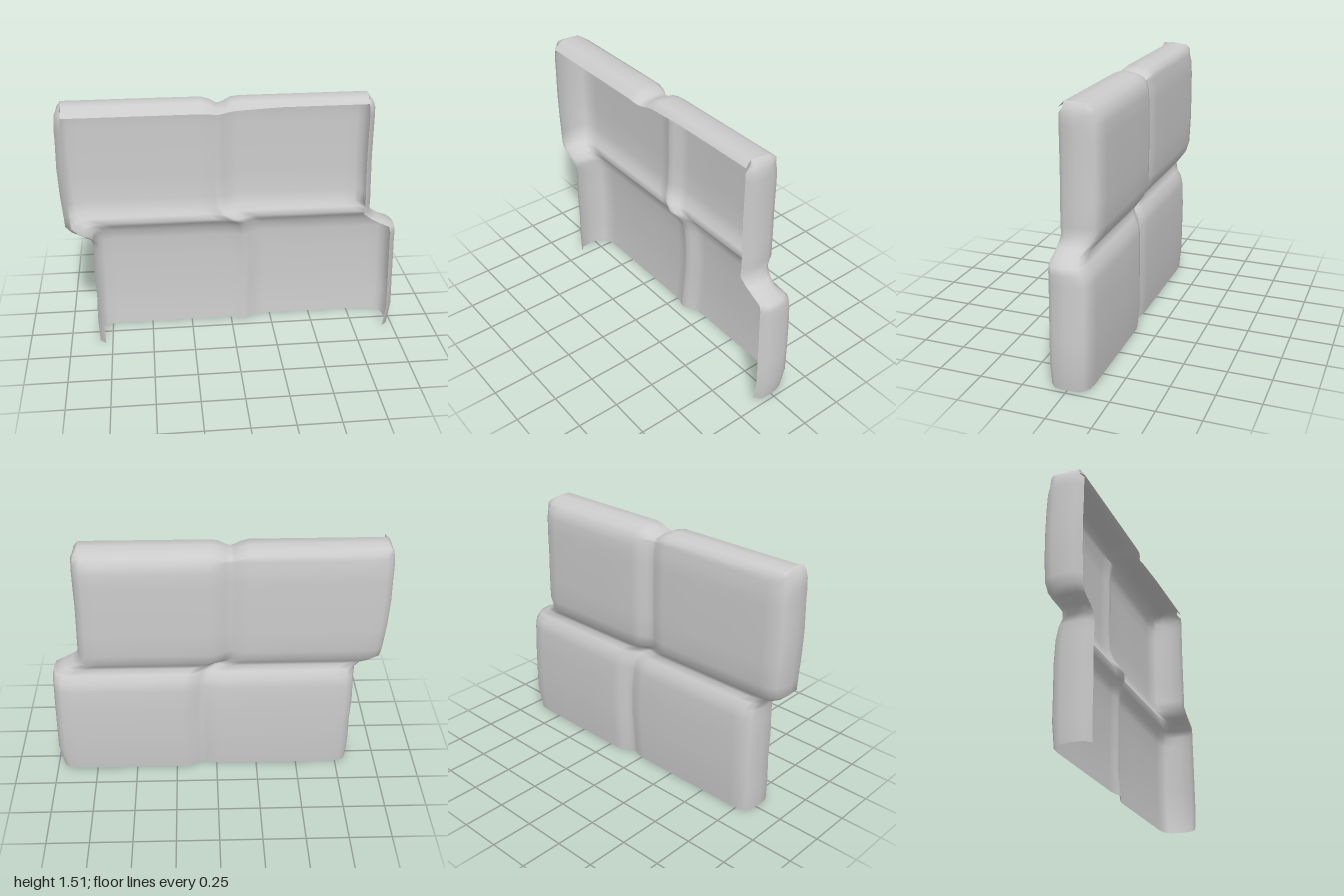
import * as THREE from 'three';

const { lerp, smoothstep, clamp } = THREE.MathUtils;

// Levels going up: y, left end, right end, x of the upright seam, forward shift of the back
const levels = [
  [0, -0.83, 0.975, 0.08, 0.012],
  [0.14, -0.835, 0.995, 0.08, 0],
  [0.3, -0.83, 0.99, 0.09, -0.004],
  [0.46, -0.835, 0.985, 0.09, -0.004],
  [0.6, -0.83, 0.98, 0.08, 0],
  [0.66, -0.83, 0.98, 0.07, 0.012],
  [0.7, -0.835, 0.97, 0.05, 0.04],
  [0.73, -0.88, 0.91, 0.01, 0.062],
  [0.76, -0.945, 0.855, -0.04, 0.046],
  [0.795, -0.98, 0.81, -0.07, 0.022],
  [0.86, -0.985, 0.815, -0.08, 0.004],
  [1.0, -0.995, 0.81, -0.08, 0],
  [1.16, -1, 0.805, -0.08, 0],
  [1.32, -0.995, 0.805, -0.08, 0],
  [1.4, -0.995, 0.805, -0.08, 0.004],
  [1.45, -0.99, 0.803, -0.08, 0.015],
];

// Rounded top edge rolling forward: y, end inset, nearest z to the back
const topRoll = [
  [1.485, 0.015, -0.085],
  [1.505, 0.03, -0.05],
  [1.515, 0.04, 0.01],
  [1.512, 0.045, 0.075],
  [1.465, 0.04, 0.2],
];

// Half profile of an end wall: inset from the end, blend from back (0) to front (1)
const endWall = [[0.04, 1], [0.005, 0.85], [0, 0.55], [0.006, 0.3], [0.022, 0.13], [0.055, 0.035], [0.12, 0]];

// Front and back depth of the shell either side of a seam
const frontZ = (x, s) => lerp(0.13, 0.103, smoothstep(x, s - 0.05, s + 0.04));
const seamDip = (x, s) => Math.exp(-(((x - s) / 0.05) ** 2));
const backZ = (x, s, shift) =>
  lerp(-0.103, -0.128, smoothstep(x, s, s + 0.12)) + 0.022 * seamDip(x, s) + shift;

// One cross-section, from the left rim round the back to the right rim
function section([y, xl, xr, s, shift]) {
  const pts = [];
  const wall = (x, t) => pts.push(new THREE.Vector3(x, y, lerp(backZ(x, s, shift), frontZ(x, s), t)));
  endWall.forEach(([d, t]) => wall(xl + d, t));
  const a = xl + 0.12, b = xr - 0.12;
  for (let k = 1; k <= 3; k++) wall(lerp(a, s - 0.1, k / 3), 0);
  for (const d of [-0.05, -0.02, 0, 0.03, 0.07]) wall(s + d, 0);
  for (let k = 0; k < 3; k++) wall(lerp(s + 0.12, b, k / 3), 0);
  [...endWall].reverse().forEach(([d, t]) => wall(xr - d, t));
  return pts;
}

// Skin a list of equal-length cross-sections
function loft(rows) {
  const n = rows[0].length;
  const index = [];
  for (let j = 0; j < rows.length - 1; j++) {
    for (let i = 0; i < n - 1; i++) {
      const p = j * n + i;
      index.push(p, p + n, p + 1, p + 1, p + n, p + n + 1);
    }
  }
  const geo = new THREE.BufferGeometry().setFromPoints(rows.flat());
  geo.setIndex(index);
  geo.computeVertexNormals();
  return geo;
}

export function createModel() {
  const group = new THREE.Group();
  group.name = 'brickWallShell';

  // Two staggered courses, open at the front and underneath
  const rows = levels.map(section);

  // Top edge: the last section pulled forward, dipping at the seam
  const last = levels[levels.length - 1];
  const [, xl, xr, s] = last;
  topRoll.forEach(([y, inset, z], k) => {
    const isRim = k === topRoll.length - 1;
    rows.push(section(last).map((p) => {
      const x = clamp(p.x, xl + inset, xr - inset);
      const limit = frontZ(x, s) - (isRim ? 0 : 0.03);
      const dip = (isRim ? 0.012 : 0.04) * seamDip(x, s);
      const rise = isRim ? 0.015 * smoothstep(x, s, 0.3) : 0;
      return new THREE.Vector3(x, y - dip + rise, Math.min(Math.max(p.z, z), limit));
    }));
  });

  const shell = new THREE.Mesh(
    loft(rows),
    new THREE.MeshStandardMaterial({ color: 0xcccccc, side: THREE.DoubleSide })
  );
  shell.name = 'staggeredBricks';
  group.add(shell);
  return group;
}
